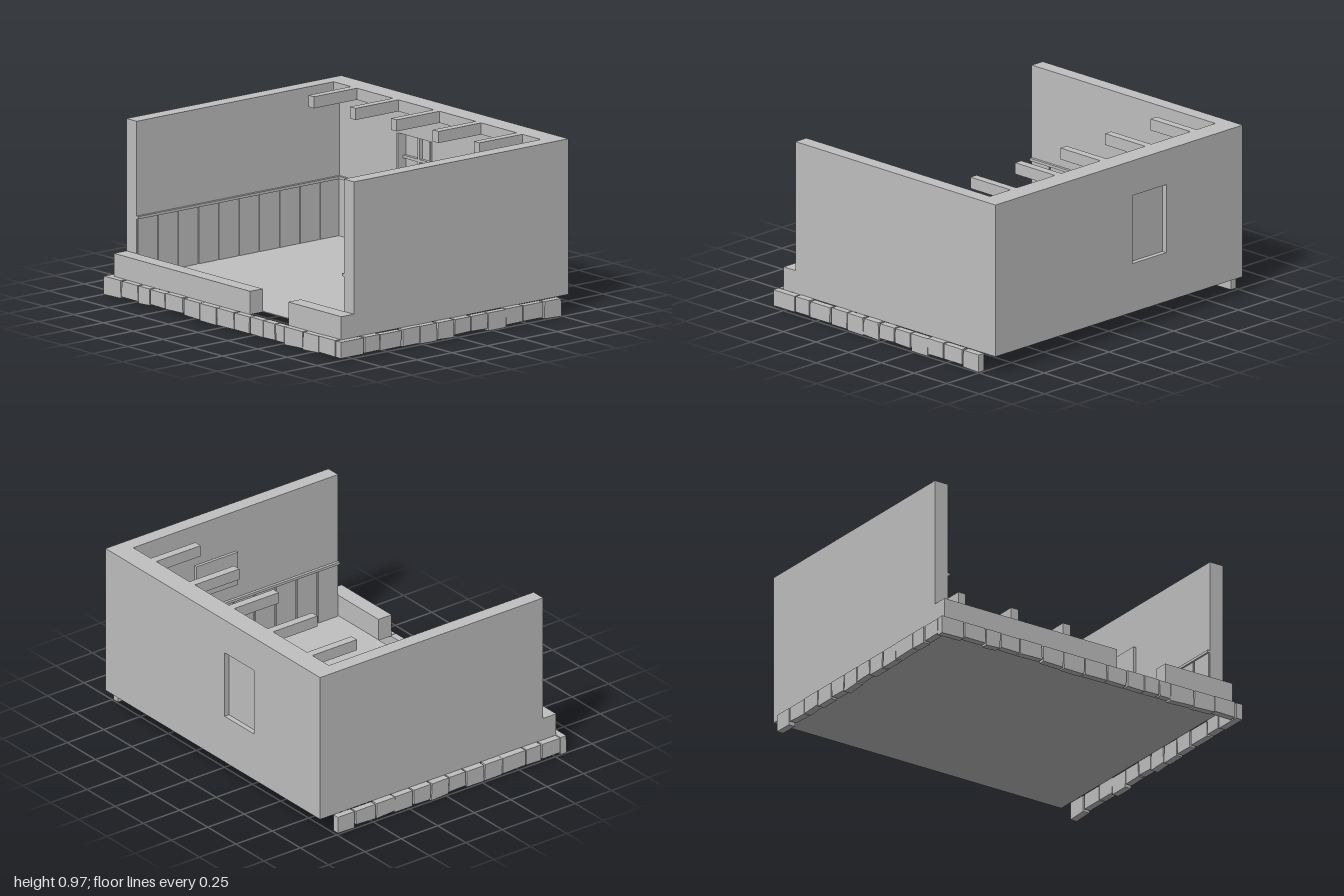
import * as THREE from 'three';

export function createModel() {
  const root = new THREE.Group();
  root.name = 'room';
  const plaster = new THREE.MeshStandardMaterial({ color: 0xc0c0c0 });
  plaster.name = 'plain grey';

  const add = (name, geo, parent = root) => {
    const m = new THREE.Mesh(geo, plaster);
    m.name = name;
    parent.add(m);
    return m;
  };
  const group = (name) => {
    const g = new THREE.Group();
    g.name = name;
    root.add(g);
    return g;
  };
  // Box given by its two opposite corners
  const box = (name, x0, x1, y0, y1, z0, z1, parent) => {
    const m = add(name, new THREE.BoxGeometry(x1 - x0, y1 - y0, z1 - z0), parent);
    m.position.set((x0 + x1) / 2, (y0 + y1) / 2, (z0 + z1) / 2);
    return m;
  };
  const polygon = (pts) => new THREE.Shape(pts.map(([x, y]) => new THREE.Vector2(x, y)));
  const extrude = (shape, depth) => new THREE.ExtrudeGeometry(shape, { depth, bevelEnabled: false });

  const BASE = 0.105, TOP = 0.975, OUT = 0.955, INN = 0.87;
  const BACK = -0.83, BACK_IN = -0.745, FRONT = 0.7;
  const WX0 = -0.365, WX1 = -0.105, WY0 = 0.385, WY1 = 0.775;

  // Floor and walls
  box('floor', -INN, INN, BASE, 0.11, BACK_IN, FRONT);
  box('leftWall', INN, OUT, BASE, TOP, BACK_IN, FRONT);
  box('rightWall', -OUT, -INN, BASE, TOP, BACK_IN, FRONT);
  const wall = polygon([[-OUT, BASE], [OUT, BASE], [OUT, TOP], [-OUT, TOP]]);
  wall.holes.push(polygon([[WX0, WY0], [WX0, WY1], [WX1, WY1], [WX1, WY0]]));
  add('backWall', extrude(wall, BACK_IN - BACK)).position.z = BACK;

  // Low front wall with a doorway
  box('frontWallRight', -OUT, 0.19, BASE, 0.235, FRONT, 0.79);
  box('frontWallLeft', 0.51, OUT, BASE, 0.235, FRONT, 0.79);

  // Ceiling header and beam stubs
  box('ceilingHeader', -INN, INN, 0.91, TOP, BACK_IN, -0.705);
  const beams = group('ceilingBeams');
  for (const x of [-0.7, -0.35, -0.005, 0.345, 0.69])
    box('ceilingBeam', x - 0.024, x + 0.024, 0.91, TOP, -0.705, -0.4, beams);

  // Plank wainscot and chair rail
  const panelling = group('wainscot');
  const gap = 0.006;
  for (let i = 0; i < 12; i++) {
    const x = -INN + i * 0.145;
    box('backPlank', x + gap, x + 0.145 - gap, 0.11, 0.43, BACK_IN, BACK_IN + 0.008, panelling);
  }
  for (const s of [-1, 1]) {
    for (let i = 0; i < 10; i++) {
      const z = BACK_IN + i * 0.1445;
      const a = s * INN, b = s * (INN - 0.006);
      box('sidePlank', Math.min(a, b), Math.max(a, b), 0.11, 0.43, z + gap, z + 0.1445 - gap, panelling);
    }
    const c = s * INN, d = s * (INN - 0.016);
    box('sideRail', Math.min(c, d), Math.max(c, d), 0.43, 0.445, BACK_IN, FRONT, panelling);
  }
  // The back rail stops at each side of the window
  box('backRailRight', -INN + 0.016, WX0 - 0.012, 0.43, 0.445, BACK_IN, BACK_IN + 0.016, panelling);
  box('backRailLeft', WX1 + 0.012, INN - 0.016, 0.43, 0.445, BACK_IN, BACK_IN + 0.016, panelling);

  // Window: pane, bars, side trim and sill
  const win = group('window');
  const mx = (WX0 + WX1) / 2, my = 0.64;
  box('pane', WX0, WX1, WY0, WY1, -0.8, -0.792, win);
  box('uprightBar', mx - 0.008, mx + 0.008, WY0, WY1, -0.792, -0.77, win);
  box('crossBar', WX0, WX1, my - 0.008, my + 0.008, -0.792, -0.772, win);
  box('trimRight', WX0 - 0.012, WX0, WY0, WY1, BACK_IN, BACK_IN + 0.01, win);
  box('trimLeft', WX1, WX1 + 0.012, WY0, WY1, BACK_IN, BACK_IN + 0.01, win);
  box('sill', -0.4, -0.08, 0.37, 0.385, BACK_IN, -0.695, win);

  // Tapered wall plaque with a round boss
  const plaque = group('wallPlaque');
  add('plate', extrude(polygon([[0.315, 0.6], [0.375, 0.6], [0.412, 0.772], [0.277, 0.772]]), 0.018), plaque)
    .position.z = BACK_IN;
  const boss = add('boss', new THREE.SphereGeometry(0.03, 16, 12), plaque);
  boss.scale.set(0.9, 1.2, 0.6);
  boss.position.set(0.345, 0.69, BACK_IN + 0.018);

  // Framed panel on the left wall
  box('sidePanel', 0.853, INN, 0.53, 0.73, -0.285, 0);

  // Uneven foundation stones
  let seed = 7;
  const rnd = () => (seed = (seed * 16807) % 2147483647) / 2147483647;
  const stones = group('foundationStones');
  const stoneGeometry = (w, h, d) => {
    const g = new THREE.BoxGeometry(w, h, d);
    const p = g.attributes.position;
    const shift = [0, 1, 2, 3].map(() => (rnd() - 0.5) * 0.008);
    for (let i = 0; i < p.count; i++) {
      const k = (p.getX(i) > 0 ? 1 : 0) + (p.getY(i) > 0 ? 2 : 0);
      p.setX(i, p.getX(i) + shift[k]);
      if (p.getY(i) < 0) p.setY(i, p.getY(i) + shift[k]);
    }
    g.computeVertexNormals();
    return g;
  };
  const row = (edges, place) => {
    for (let i = 0; i + 1 < edges.length; i++) {
      const low = 0.006 + rnd() * 0.014, high = 0.103 + rnd() * 0.004;
      const w = edges[i + 1] - edges[i] - 0.008;
      const m = add('stone', stoneGeometry(w, high - low, 0.038 + rnd() * 0.006), stones);
      place(m, (edges[i] + edges[i + 1]) / 2, (low + high) / 2);
    }
  };
  row([-1, -0.85, -0.705, -0.61, -0.48, -0.33, -0.19, -0.05, 0.1, 0.23, 0.345, 0.445, 0.52, 0.675, 0.81, 0.955],
    (m, x, y) => m.position.set(x, y, 0.807));
  for (const s of [-1, 1]) {
    row([-0.745, -0.62, -0.475, -0.35, -0.22, -0.1, 0.02, 0.14, 0.265, 0.39, 0.55, 0.66, s > 0 ? 0.83 : 0.785],
      (m, z, y) => {
        m.rotation.y = -Math.PI / 2;
        m.position.set(s * 0.976, y, z);
      });
  }
  return root;
}
